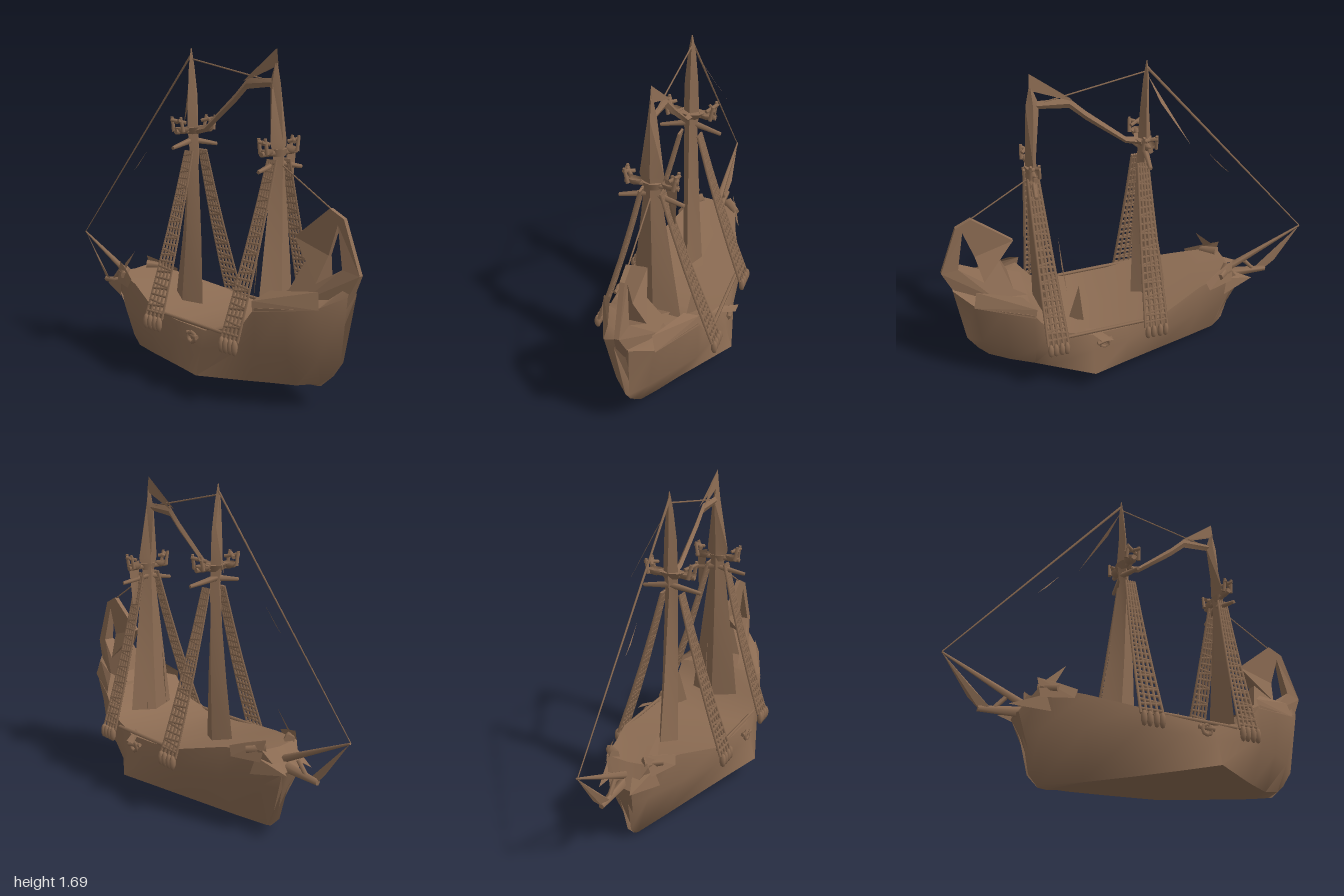
import * as THREE from 'three';
import { toCreasedNormals } from 'three/addons/utils/BufferGeometryUtils.js';

const V = (p) => new THREE.Vector3(...p);

export function createModel() {
  const ship = new THREE.Group();
  ship.name = 'sailingShip';
  const wood = new THREE.MeshStandardMaterial({ color: 0x8c6c53, side: THREE.DoubleSide });
  wood.name = 'weathered wood';

  const add = (name, geometry, parent = ship) => {
    const mesh = new THREE.Mesh(geometry, wood);
    mesh.name = name;
    parent.add(mesh);
    return mesh;
  };
  // Tapered spar or rope between two points
  const bar = (name, a, b, r0, r1 = r0, parent = ship, sides = 5) => {
    const A = V(a), d = V(b).sub(A);
    const mesh = add(name, new THREE.CylinderGeometry(r1, r0, d.length(), sides), parent);
    mesh.position.copy(A).addScaledVector(d, 0.5);
    mesh.quaternion.setFromUnitVectors(new THREE.Vector3(0, 1, 0), d.normalize());
  };
  // Thin faceted sheet: a fan of triangles around the first point
  const sheet = (name, pts) => {
    const out = [];
    for (let i = 1; i < pts.length - 1; i++) out.push(...pts[0], ...pts[i], ...pts[i + 1]);
    const g = new THREE.BufferGeometry();
    g.setAttribute('position', new THREE.Float32BufferAttribute(out, 3));
    g.computeVertexNormals();
    add(name, g);
  };
  // Closed loft through rings of equal length
  const loft = (name, rings, crease) => {
    const n = rings[0].length, pos = rings.flat(2), idx = [];
    for (let s = 0; s < rings.length - 1; s++)
      for (let i = 0; i < n; i++) {
        const a = s * n + i, b = s * n + (i + 1) % n;
        idx.push(a, b, a + n, b, b + n, a + n);
      }
    for (let i = 1; i < n - 1; i++) {
      const e = (rings.length - 1) * n;
      idx.push(0, i + 1, i, e, e + i, e + i + 1);
    }
    const g = new THREE.BufferGeometry();
    g.setAttribute('position', new THREE.Float32BufferAttribute(pos, 3));
    g.setIndex(idx);
    add(name, toCreasedNormals(g, crease));
  };

  // Hull stations: keel x, sheer x, keel y, chine y/z, wale y/z, sheer y/z, deck y.
  // The chine is a diamond in plan: straight from the stem to midships to the sternpost.
  const stations = [
    [-0.5, -0.63, 0.005, 0.06, 0.01, 0.24, 0.02, 0.34, 0.06, 0.35],
    [-0.46, -0.55, 0, 0.012, 0.018, 0.26, 0.1, 0.46, 0.12, 0.45],
    [-0.3, -0.34, 0.015, 0.03, 0.087, 0.27, 0.19, 0.43, 0.18, 0.42],
    [-0.1, -0.1, 0.03, 0.06, 0.175, 0.27, 0.275, 0.37, 0.275, 0.36],
    [0.1, 0.1, 0.05, 0.09, 0.26, 0.26, 0.3, 0.345, 0.285, 0.34],
    [0.29, 0.29, 0.065, 0.12, 0.345, 0.25, 0.31, 0.335, 0.285, 0.33],
    [0.5, 0.5, 0.08, 0.11, 0.2, 0.28, 0.27, 0.39, 0.26, 0.39],
    [0.57, 0.58, 0.085, 0.108, 0.15, 0.28, 0.25, 0.5, 0.25, 0.52],
    [0.68, 0.72, 0.093, 0.105, 0.075, 0.28, 0.17, 0.51, 0.19, 0.55],
    [0.76, 0.86, 0.1, 0.13, 0.03, 0.27, 0.085, 0.53, 0.125, 0.58],
    [0.785, 0.95, 0.105, 0.17, 0.01, 0.25, 0.01, 0.58, 0.035, 0.64],
  ];
  loft('hull', stations.map(([xk, xt, ky, cy, cz, my, mz, ty, tz, dy]) => {
    const x = (t) => xk + (xt - xk) * t;
    return [[x(0), ky, 0], [x(0.4), cy, -cz], [x(0.72), my, -mz], [xt, ty, -tz],
      [xt, dy, 0], [xt, ty, tz], [x(0.72), my, mz], [x(0.4), cy, cz]];
  }), 0.9);

  // Tall curling stern piece with an opening, wide at its foot
  const points = (list) => list.map((p) => new THREE.Vector2(...p));
  const curl = new THREE.Shape(points([[0.58, 0.53], [0.75, 0.54], [0.91, 0.5], [0.995, 0.68], [0.9, 0.93],
    [0.82, 0.97], [0.62, 0.81], [0.7, 0.71], [0.65, 0.57]]));
  curl.holes.push(new THREE.Path(points([[0.868, 0.9], [0.91, 0.7], [0.79, 0.62], [0.82, 0.75]])));
  const curlGeo = new THREE.ExtrudeGeometry(curl, { depth: 2, bevelEnabled: false });
  const cp = curlGeo.attributes.position;
  for (let i = 0; i < cp.count; i++) {
    const half = Math.min(0.11 - Math.max(0, cp.getY(i) - 0.52) * 0.45, (1 - cp.getX(i)) * 0.45);
    cp.setZ(i, (cp.getZ(i) - 1) * Math.max(0.012, half));
  }
  curlGeo.computeVertexNormals();
  add('sternCurl', curlGeo);

  // Bowsprit, its lower brace and the beak
  bar('bowsprit', [-0.55, 0.38, 0], [-1, 0.6, -0.005], 0.022, 0.005);
  sheet('bowspritBrace', [[-1, 0.6, -0.005], [-0.86, 0.45, 0.012], [-0.76, 0.36, 0.015], [-0.8, 0.34, 0],
    [-0.86, 0.4, -0.012]]);
  bar('bowspritStay', [-0.81, 0.345, 0], [-0.58, 0.36, 0], 0.015, 0.03);
  bar('bowspritStrut', [-0.75, 0.34, 0], [-0.68, 0.42, 0], 0.012);

  // Masts with broad tapering feet
  const mast = (name, rows) => loft(name, rows.map(([y, x0, x1, half]) => {
    const xm = (x0 + x1) / 2;
    return [[x0, y, 0], [xm, y, half], [x1, y, 0], [xm, y, -half]];
  }), 0.4);
  mast('foreMast', [[0.34, -0.21, -0.005, 0.055], [0.7, -0.155, -0.015, 0.045],
    [1.18, -0.095, -0.04, 0.035], [1.3, -0.11, -0.045, 0.04],
    [1.45, -0.1, -0.055, 0.035], [1.6, -0.1, -0.07, 0.02], [1.69, -0.09, -0.085, 0.003]]);
  mast('mainMast', [[0.36, 0.45, 0.54, 0.14], [0.7, 0.465, 0.535, 0.1],
    [1.18, 0.475, 0.53, 0.04], [1.25, 0.475, 0.53, 0.06],
    [1.53, 0.445, 0.51, 0.022], [1.62, 0.475, 0.49, 0.008]]);

  // Furled spar slung between the masts, ending in a pennant
  loft('slungSpar', [[-0.05, 1.27, 0.02, 0.02], [0.02, 1.285, 0.018, 0.015], [0.22, 1.445, 0.024, 0.012],
    [0.3, 1.52, 0.026, 0.01], [0.46, 1.53, 0.02, 0.012]].map(([x, y, h, w]) =>
    [[x, y - h, 0], [x, y, w], [x, y + h, 0], [x, y, -w]]), 0.5);
  for (const z of [-0.012, 0.012])
    sheet('pennant', [[0.485, 1.69, 0], [0.28, 1.53, z], [0.49, 1.61, z / 2]]);

  // Fighting tops: crosstree, platform and a rounded, railed basket at each side
  for (const [name, x, y, dx] of [['foreTop', -0.07, 1.27, 0.035], ['mainTop', 0.505, 1.2, 0.022]]) {
    const top = new THREE.Group();
    top.name = name;
    top.position.set(x, y, 0);
    ship.add(top);
    add('platform', new THREE.CylinderGeometry(dx + 0.01, 0.025, 0.035, 8), top).scale.z = 1.6;
    bar('crosstree', [0, 0, -0.13], [0, 0, 0.13], 0.014, 0.014, top);
    for (const s of [-1, 1]) {
      bar('yardArm', [-0.01, -0.05, 0], [0.01, -0.08, s * 0.16], 0.018, 0.01, top);
      const basket = add('basket', new THREE.SphereGeometry(1, 8, 5, 0, Math.PI * 2, Math.PI / 2, Math.PI / 2), top);
      basket.position.set(0, 0.02, s * 0.085);
      basket.scale.set(dx, 0.035, 0.042);
      for (const px of [-dx, dx]) {
        bar('basketPost', [px, 0, s * 0.11], [px * 0.9, 0.075, s * 0.125], 0.011, 0.008, top);
        bar('basketRail', [px, 0.045, s * 0.09], [-px, 0.06, s * 0.13], 0.01, 0.01, top);
      }
    }
  }
  sheet('hangingCloth', [[0.5, 1.24, -0.06], [0.51, 1.22, -0.125], [0.5, 1, -0.11], [0.49, 1, -0.09]]);

  // Shrouds: dense tapering rope ladders with deadeyes at their feet
  for (const [x0, x1, xt] of [[-0.115, 0.005, -0.055], [0.42, 0.525, 0.505]])
    for (const s of [-1, 1]) {
      const shroud = new THREE.Group();
      shroud.name = 'shroud';
      ship.add(shroud);
      const at = (u, t) => [THREE.MathUtils.lerp(x0 + (x1 - x0) * u, xt + (u - 0.5) * 0.05, t),
        0.33 + 0.84 * t, s * (0.305 - 0.255 * t - 0.01 * Math.sin(Math.PI * t))];
      for (const u of [0, 0.25, 0.5, 0.75, 1])
        for (let k = 0; k < 4; k++) bar('rope', at(u, k / 4), at(u, (k + 1) / 4), 0.008, 0.008, shroud, 4);
      for (const u of [0.1, 0.35, 0.65, 0.9]) {
        const eye = add('deadeye', new THREE.SphereGeometry(0.02, 6, 5), shroud);
        eye.position.set(x0 + (x1 - x0) * u, 0.305, s * 0.315);
        eye.scale.set(0.85, 2, 0.9);
      }
      for (let k = 1; k < 30; k++)
        bar('ratline', at(0, k / 30), at(1, (k + (k % 3) * 0.4 - 0.4) / 30), 0.008, 0.008, shroud, 4);
    }

  // Stays and loose lines
  bar('foreStay', [-1, 0.6, 0], [-0.085, 1.66, 0], 0.003, 0.007, ship, 4);
  bar('topStay', [-0.08, 1.635, 0], [0.45, 1.535, 0], 0.004, 0.004, ship, 4);
  bar('backStay', [0.53, 1.14, 0], [0.83, 0.96, 0], 0.004, 0.004, ship, 4);
  sheet('looseLine', [[-0.09, 1.62, 0], [-0.14, 1.49, -0.06], [-0.28, 1.27, -0.13], [-0.17, 1.45, -0.07]]);
  sheet('looseLine', [[-0.43, 1.14, 0], [-0.5, 1.055, 0.003], [-0.55, 1.01, 0], [-0.5, 1.065, 0]]);
  sheet('looseLine', [[0.385, 0.78, 0], [0.375, 0.6, 0], [0.35, 0.42, 0]]);
  sheet('deckFlap', [[0.32, 0.56, -0.15], [0.305, 0.35, -0.17], [0.375, 0.34, -0.12]]);

  // Mirrored fittings on both sides
  for (const s of [-1, 1]) {
    sheet('beakFin', [[-0.69, 0.36, s * 0.085], [-0.5, 0.33, s * 0.15], [-0.52, 0.42, s * 0.13], [-0.58, 0.4, s * 0.04]]);
    sheet('forecastleRail', [[-0.56, 0.51, s * 0.1], [-0.55, 0.4, s * 0.13], [-0.4, 0.4, s * 0.185],
      [-0.38, 0.45, s * 0.175], [-0.46, 0.48, s * 0.14]]);
    sheet('sternRail', [[0.56, 0.53, s * 0.25], [0.57, 0.48, s * 0.255], [0.86, 0.52, s * 0.13],
      [0.84, 0.6, s * 0.11], [0.62, 0.58, s * 0.19]]);
    bar('gunwale', [-0.1, 0.36, s * 0.275], [0.42, 0.345, s * 0.275], 0.01, 0.01);
    const anchor = add('anchor', new THREE.TorusGeometry(0.025, 0.01, 5, 8));
    anchor.position.set(0.23, 0.295, s * 0.315);
    bar('anchorStock', [0.19, 0.31, s * 0.305], [0.27, 0.3, s * 0.32], 0.012, 0.012);
    bar('cathead', [-0.54, 0.46, s * 0.08], [-0.47, 0.45, s * 0.15], 0.03, 0.02);
  }
  sheet('splinter', [[-0.52, 0.5, 0.1], [-0.42, 0.59, 0.11], [-0.48, 0.48, 0.13]]);
  sheet('sideFlap', [[0.19, 0.33, -0.35], [0.25, 0.33, -0.35], [0.32, 0.35, -0.24], [0.26, 0.35, -0.26]]);
  return ship;
}
